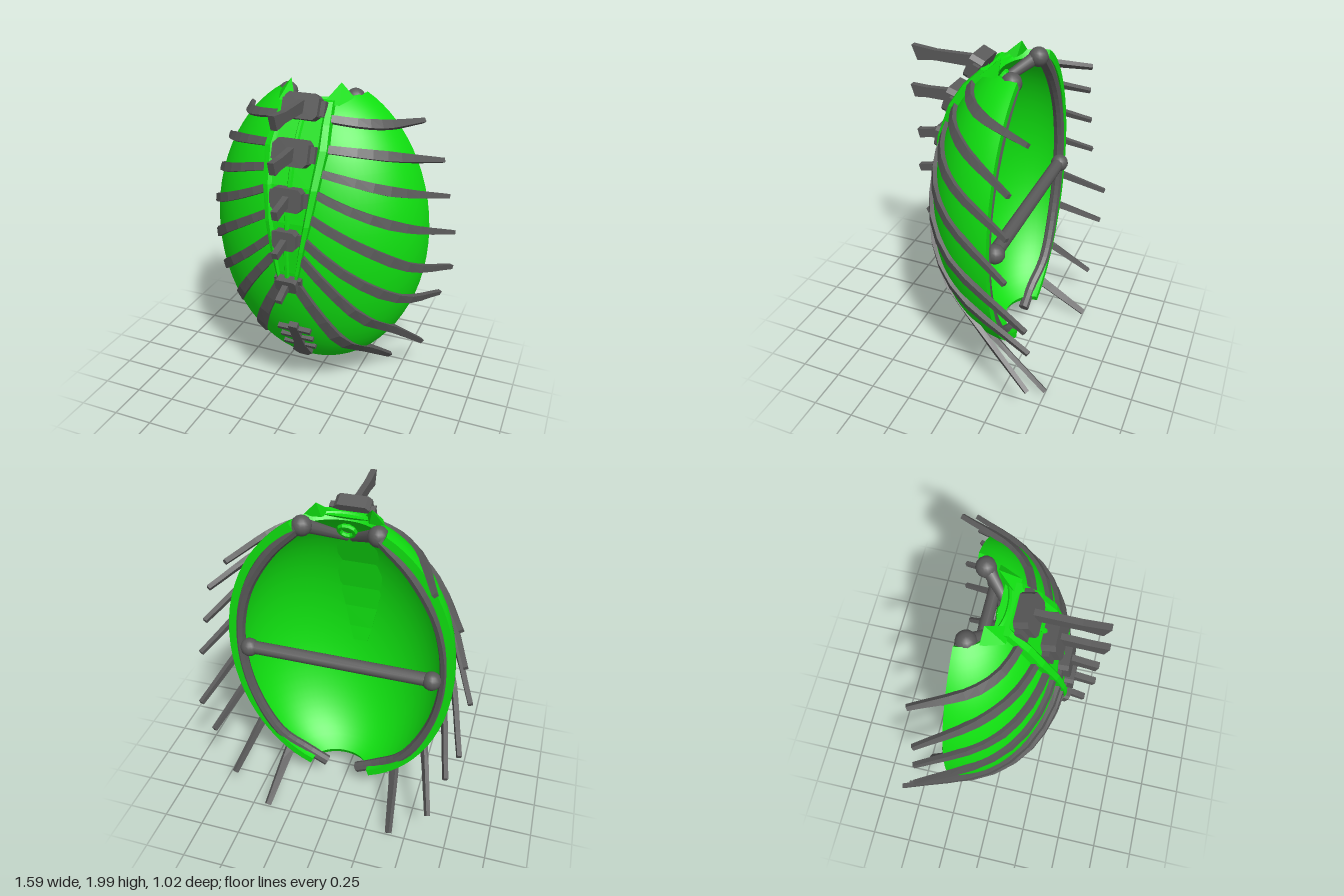
import * as THREE from 'three';
import { ConvexGeometry } from 'three/addons/geometries/ConvexGeometry.js';

const V = (x, y, z) => new THREE.Vector3(x, y, z);
const green = new THREE.MeshStandardMaterial({ color: 0x10e010, side: THREE.DoubleSide });
const greenFlat = new THREE.MeshStandardMaterial({ color: 0x10e010, side: THREE.DoubleSide, flatShading: true });
const bone = new THREE.MeshStandardMaterial({ color: 0x5a5a5a });
const boneFlat = new THREE.MeshStandardMaterial({ color: 0x5a5a5a, side: THREE.DoubleSide, flatShading: true });

// Half ellipsoid of the shell, open towards -z
const CY = 1.09, RX = 0.67, RZ = 0.54, BACK = -0.23, THICK = 0.045;
const ring = y => Math.sqrt(Math.max(0, 1 - ((y - CY) / (y > CY ? 0.91 : 0.93)) ** 2));
const shellZ = (x, y) => BACK + RZ * Math.sqrt(Math.max(0, ring(y) ** 2 - (x / RX) ** 2));
const shellNormal = p => V(p.x / RX ** 2, (p.y - CY) / 0.92 ** 2, Math.max(0, p.z - BACK) / RZ ** 2).normalize();

function add(group, name, geometry, material, x = 0, y = 0, z = 0) {
  const mesh = new THREE.Mesh(geometry, material);
  mesh.name = name;
  mesh.position.set(x, y, z);
  group.add(mesh);
  return mesh;
}

// Skin over equal-sized cross-sections; closed ones get end caps
function loft(sections, closed = true) {
  const n = sections[0].length, pos = [], idx = [];
  sections.forEach(s => s.forEach(p => pos.push(p.x, p.y, p.z)));
  for (let i = 0; i < sections.length - 1; i++)
    for (let j = 0; j < (closed ? n : n - 1); j++) {
      const a = i * n + j, b = i * n + (j + 1) % n;
      idx.push(a, b, a + n, b, b + n, a + n);
    }
  if (closed) {
    const e = (sections.length - 1) * n;
    for (let j = 1; j < n - 1; j++) idx.push(0, j + 1, j, e, e + j, e + j + 1);
  }
  const g = new THREE.BufferGeometry();
  g.setAttribute('position', new THREE.Float32BufferAttribute(pos, 3));
  g.setIndex(idx);
  g.computeVertexNormals();
  return g;
}

// Round bar between two points
function bar(group, name, a, b, r1, r2) {
  const m = add(group, name, new THREE.CylinderGeometry(r2, r1, a.distanceTo(b), 10), bone);
  m.position.copy(a).add(b).multiplyScalar(0.5);
  m.quaternion.setFromUnitVectors(V(0, 1, 0), b.clone().sub(a).normalize());
}

// Flat rib that hugs the shell, then runs straight out to its tip
function ribGeometry(side, xy, tip, width) {
  const pts = xy.map(([x, y]) => {
    const p = V(x, y, shellZ(x, y));
    return p.addScaledVector(shellNormal(p), 0.008);
  });
  pts.push(V(...tip));
  const curve = new THREE.CatmullRomCurve3(pts, false, 'centripetal');
  const sections = [], steps = 9;
  for (let i = 0; i <= steps; i++) {
    const t = i / steps, p = curve.getPointAt(t), dir = curve.getTangentAt(t);
    const out = shellNormal(p);
    out.addScaledVector(dir, -out.dot(dir)).normalize();
    const across = dir.clone().cross(out);
    const w = width * (t < 0.45 ? 0.75 + 0.55 * t : 1 - 0.55 * (t - 0.45) / 0.55), h = 0.018 - 0.005 * t;
    sections.push([[-1, -1], [1, -1], [1, 1], [-1, 1]].map(([a, b]) => {
      const q = p.clone().addScaledVector(across, a * w).addScaledVector(out, b * h);
      q.x *= side;
      return q;
    }));
  }
  return loft(sections);
}

// Block with cut corners
function blockGeometry(w, h, d) {
  const a = w / 2, b = h / 2, c = Math.min(w, h) * 0.16;
  const outline = [[-a, c - b], [c - a, -b], [a - c, -b], [a, c - b], [a, b - c], [a - c, b], [c - a, b], [-a, b - c]];
  const s = new THREE.Shape(outline.map(p => new THREE.Vector2(...p)));
  return new THREE.ExtrudeGeometry(s, { depth: d, bevelEnabled: false }).translate(0, 0, -d / 2);
}

export function createModel() {
  const model = new THREE.Group();
  model.name = 'ribbedShell';

  // Shell: outer and inner skins joined by lips along all four edges
  const outer = [];
  for (let i = 0; i <= 28; i++) {
    const f = i / 28, y = 0.2 + 1.73 * (f - Math.sin(2 * Math.PI * f) / (4 * Math.PI)), r = ring(y);
    outer.push(Array.from({ length: 41 }, (_, j) => {
      const a = Math.PI * (1 - j / 40);
      return V(RX * r * Math.cos(a), y, BACK + RZ * r * Math.sin(a));
    }));
  }
  const inner = outer.map(row => row.map(p => p.clone().addScaledVector(shellNormal(p), -THICK)));
  add(model, 'shellOuter', loft(outer, false), green);
  add(model, 'shellInner', loft(inner.map(row => [...row].reverse()), false), green);
  for (const k of [0, 28]) add(model, 'shellEdge', loft([outer[k], inner[k]], false), greenFlat);
  for (const k of [0, 40]) add(model, 'shellRim', loft([outer, inner].map(rows => rows.map(row => row[k])), false), greenFlat);

  // Raised spine panel with rails along its edges
  const widths = [[0.9, 0.045], [1.0, 0.07], [1.15, 0.1], [1.3, 0.13], [1.5, 0.16], [1.7, 0.18], [1.82, 0.165], [1.92, 0.145]];
  add(model, 'spinePanel', loft(widths.map(([y, w]) => {
    const z = shellZ(0, y);
    return [[-1, -0.055], [-1, 0.025], [-0.8, 0.035], [-0.7, 0.015], [0.7, 0.015], [0.8, 0.035], [1, 0.025], [1, -0.055]]
      .map(([k, d]) => V(k * w, y, z + d));
  })), greenFlat);

  // Spinal cord
  const cord = new THREE.CatmullRomCurve3([0.9, 1.1, 1.3, 1.5, 1.7, 1.9].map(y => V(0, y, shellZ(0, y) + 0.025)));
  add(model, 'spinalCord', new THREE.TubeGeometry(cord, 20, 0.015, 6), greenFlat);

  // Vertebrae: [y, z, width, height, tilt, blade root y, tip z, tip top, tip bottom]
  [
    [1.895, 0.085, 0.2, 0.14, 0.42, 1.908, 0.49, 1.952, 1.868],
    [1.68, 0.225, 0.2, 0.15, 0.32, 1.685, 0.51, 1.715, 1.642],
    [1.44, 0.295, 0.18, 0.13, 0.15, 1.445, 0.485, 1.438, 1.382],
    [1.215, 0.33, 0.14, 0.11, 0.03, 1.21, 0.49, 1.197, 1.158],
    [0.935, 0.315, 0.13, 0.09, -0.35, 0.93, 0.455, 0.888, 0.862],
  ].forEach(([y, z, w, h, tilt, root, tipZ, top, bottom]) => {
    const v = new THREE.Group();
    v.name = 'vertebra';
    model.add(v);
    const body = new THREE.Group();
    body.position.set(0, y, z);
    body.rotation.x = -tilt;
    v.add(body);
    add(body, 'vertebraBody', blockGeometry(w, h, 0.08), boneFlat);
    add(body, 'vertebraWings', new THREE.BoxGeometry(w * 1.26, h * 0.6, 0.04), boneFlat, 0, 0, -0.015);
    const b = h * 0.24, len = tipZ - z, mid = root + ((top + bottom) / 2 - root) * 0.65;
    const s = new THREE.Shape([[0, root - b], [len * 0.65, mid - b * 0.85], [len * 0.92, bottom],
      [len, top], [len * 0.65, mid + b * 0.85], [0, root + b]].map(p => new THREE.Vector2(...p)));
    const blade = new THREE.ExtrudeGeometry(s, { depth: 0.036, bevelEnabled: false });
    add(v, 'vertebraBlade', blade.translate(0, 0, -0.018).rotateY(-Math.PI / 2), boneFlat, 0, 0, z);
  });

  // Ribs: points lying on the shell, the free tip, half width
  const ribs = [
    [[[0.15, 1.83], [0.28, 1.81], [0.4, 1.785]], [0.55, 1.75, -0.4], 0.028],
    [[[0.15, 1.695], [0.32, 1.675], [0.5, 1.625]], [0.69, 1.54, -0.36], 0.028],
    [[[0.14, 1.58], [0.3, 1.54], [0.46, 1.485], [0.58, 1.43]], [0.735, 1.32, -0.37], 0.028],
    [[[0.12, 1.48], [0.27, 1.41], [0.45, 1.325], [0.6, 1.24]], [0.785, 1.09, -0.38], 0.028],
    [[[0.1, 1.35], [0.27, 1.25], [0.46, 1.13], [0.61, 1.0]], [0.77, 0.8, -0.49], 0.03],
    [[[0.09, 1.21], [0.25, 1.07], [0.43, 0.92], [0.58, 0.775]], [0.71, 0.6, -0.49], 0.03],
    [[[0.08, 1.1], [0.22, 0.93], [0.38, 0.71], [0.5, 0.51]], [0.625, 0.22, -0.46], 0.032],
    [[[0.05, 0.92], [0.16, 0.72], [0.26, 0.5], [0.335, 0.3]], [0.4, 0.025, -0.5], 0.038],
  ];
  for (const side of [-1, 1]) {
    const label = side > 0 ? 'left' : 'right';
    ribs.forEach(([xy, tip, width]) => add(model, label + 'Rib', ribGeometry(side, xy, tip, width), boneFlat));

    // Rim bone inside the opening, with a knob at its upper end
    const path = new THREE.CatmullRomCurve3([[0.21, 1.905], [0.39, 1.72], [0.55, 1.44], [0.615, 1.1], [0.565, 0.73], [0.4, 0.405], [0.24, 0.265], [0.1, 0.19]]
      .map(([x, y], i) => V(side * x, y, i > 5 ? -0.17 : -0.2)));
    const sections = [];
    for (let i = 0; i <= 32; i++) {
      const p = path.getPointAt(i / 32), u = path.getTangentAt(i / 32).cross(V(0, 0, 1)).normalize();
      sections.push(Array.from({ length: 8 }, (_, k) => {
        const a = k * Math.PI / 4;
        return p.clone().addScaledVector(u, 0.034 * Math.cos(a)).add(V(0, 0, 0.034 * Math.sin(a)));
      }));
    }
    add(model, label + 'RimBone', loft(sections), boneFlat);
    add(model, label + 'RimKnob', new THREE.SphereGeometry(0.056, 14, 10), bone, side * 0.205, 1.9, -0.18);

    // Collar bone running forward and down to the spine
    bar(model, label + 'CollarBone', V(side * 0.2, 1.9, -0.17), V(side * 0.015, 1.76, 0.02), 0.038, 0.022);

    // Pointed shard at the top edge
    add(model, label + 'TopShard', new ConvexGeometry([V(side * 0.08, 1.9, 0.01), V(side * 0.18, 1.9, 0.01),
      V(side * 0.225, 1.92, -0.11), V(side * 0.13, 1.91, -0.08), V(side * 0.15, 2, -0.1)]), greenFlat);

    // Crossbar end knob
    add(model, label + 'CrossbarKnob', new THREE.SphereGeometry(0.055, 14, 10), bone, side * 0.545, 1.075, -0.23);
  }

  // Crossbar over the opening and ring where the collar bones meet
  bar(model, 'crossbar', V(-0.55, 1.075, -0.225), V(0.55, 1.075, -0.225), 0.04, 0.04);
  add(model, 'collarRing', new THREE.TorusGeometry(0.045, 0.014, 6, 10), greenFlat, 0, 1.83, -0.045).rotation.x = -0.5;

  // Breastbone low on the front
  const breastbone = new THREE.Group();
  breastbone.name = 'breastbone';
  breastbone.position.set(0, 0.46, shellZ(0, 0.46));
  breastbone.rotation.x = 0.52;
  model.add(breastbone);
  const s = new THREE.Shape([[-0.028, 0.175], [0.028, 0.175], [0.035, -0.04], [0.065, -0.14], [0.03, -0.18], [-0.03, -0.18], [-0.065, -0.14], [-0.035, -0.04]]
    .map(p => new THREE.Vector2(...p)));
  add(breastbone, 'breastbonePlate', new THREE.ExtrudeGeometry(s, { depth: 0.04, bevelEnabled: false }).translate(0, 0, -0.024), boneFlat);
  for (const y of [0.13, 0.04, -0.05])
    add(breastbone, 'breastboneBar', new THREE.BoxGeometry(0.21, 0.026, 0.03), boneFlat, 0, y, 0);

  return model;
}
